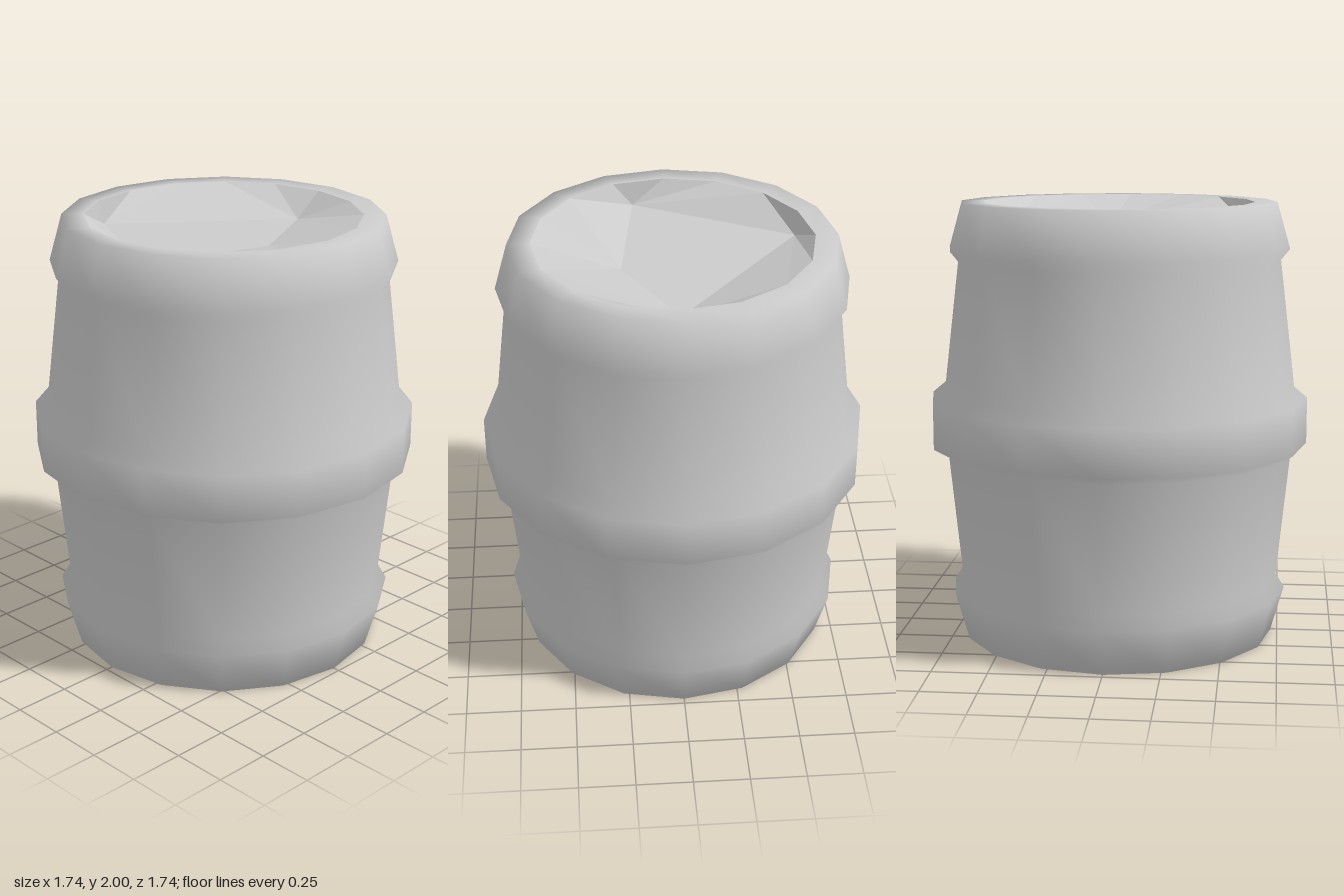
import * as THREE from 'three';

const SIDES = 16;
const LIP = 0.62;
const LID_Y = 1.89;

// Outer wall with its three hoops, from the bottom lip up to the top lip
const WALL = [
  [LIP, 0], [0.72, 0], [0.78, 0.21], [0.74, 0.27], [0.8, 0.86], [0.87, 0.9],
  [0.87, 1.11], [0.81, 1.16], [0.74, 1.74], [0.78, 1.79], [0.72, 2], [LIP, 2],
];

// Uneven four-cornered lid, counter-clockwise from above as [x, z]
const LID = [[-0.58, 0.15], [0.05, 0.23], [0.48, 0], [-0.22, -0.56]];

function lathe(points) {
  return new THREE.LatheGeometry(points.map(([r, y]) => new THREE.Vector2(r, y)), SIDES);
}

function facets(points) {
  const geometry = new THREE.BufferGeometry().setFromPoints(points);
  geometry.computeVertexNormals();
  return geometry;
}

// Sloping faces joining the round lip to the nearest lid corners
function skirt() {
  const corners = LID.map(([x, z]) => new THREE.Vector3(x, LID_Y, z));
  const ring = [];
  for (let i = 0; i <= SIDES; i++) {
    const a = (i / SIDES) * Math.PI * 2;
    ring.push(new THREE.Vector3(LIP * Math.sin(a), 2, LIP * Math.cos(a)));
  }
  const nearest = (p) => corners.reduce((b, c) => (c.distanceTo(p) < b.distanceTo(p) ? c : b));
  const tris = [];
  for (let i = 0; i < SIDES; i++) {
    const from = nearest(ring[i]);
    const to = nearest(ring[i + 1]);
    tris.push(ring[i], ring[i + 1], to);
    if (from !== to) tris.push(ring[i], to, from);
  }
  return facets(tris);
}

export function createModel() {
  const group = new THREE.Group();
  group.name = 'barrel';
  const material = new THREE.MeshStandardMaterial({ color: 0xcccccc, side: THREE.DoubleSide });
  const add = (name, geometry) => {
    const mesh = new THREE.Mesh(geometry, material);
    mesh.name = name;
    group.add(mesh);
  };

  add('barrelWall', lathe(WALL));
  add('lidSurround', skirt());

  // Recessed lid
  const [a, b, c, d] = LID.map(([x, z]) => new THREE.Vector3(x, LID_Y, z));
  add('lid', facets([a, b, c, a, c, d]));

  // Recessed underside
  add('baseSurround', lathe([[0.4, 0.11], [LIP, 0]]));
  add('base', lathe([[0, 0.11], [0.4, 0.11]]));
  return group;
}
